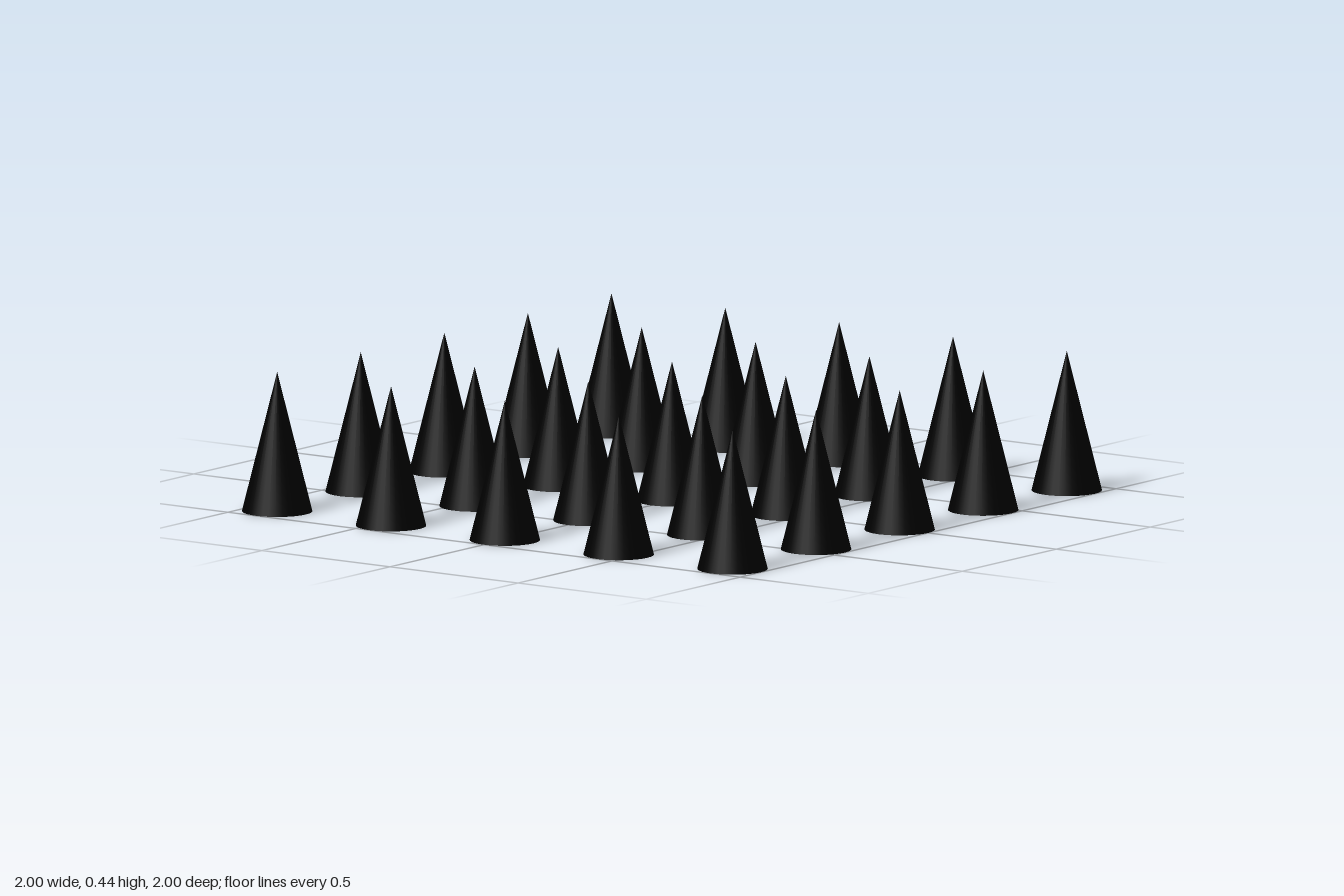
import * as THREE from 'three';

const COUNT = 5;
const SPACING = 4 / 9;
const RADIUS = 1 / 9;
const HEIGHT = 4 / 9;

export function createModel() {
  const group = new THREE.Group();
  group.name = 'spikeGrid';

  // One closed, smooth cone standing on the ground, shared by every spike
  const geometry = new THREE.ConeGeometry(RADIUS, HEIGHT, 32);
  geometry.translate(0, HEIGHT / 2, 0);
  const material = new THREE.MeshStandardMaterial({ color: 0x000000 });

  // Square grid of spikes centred on the origin
  const offset = (COUNT - 1) / 2;
  for (let row = 0; row < COUNT; row++) {
    for (let column = 0; column < COUNT; column++) {
      const spike = new THREE.Mesh(geometry, material);
      spike.name = `spikeRow${row + 1}Column${column + 1}`;
      spike.position.set((column - offset) * SPACING, 0, (row - offset) * SPACING);
      group.add(spike);
    }
  }
  return group;
}
